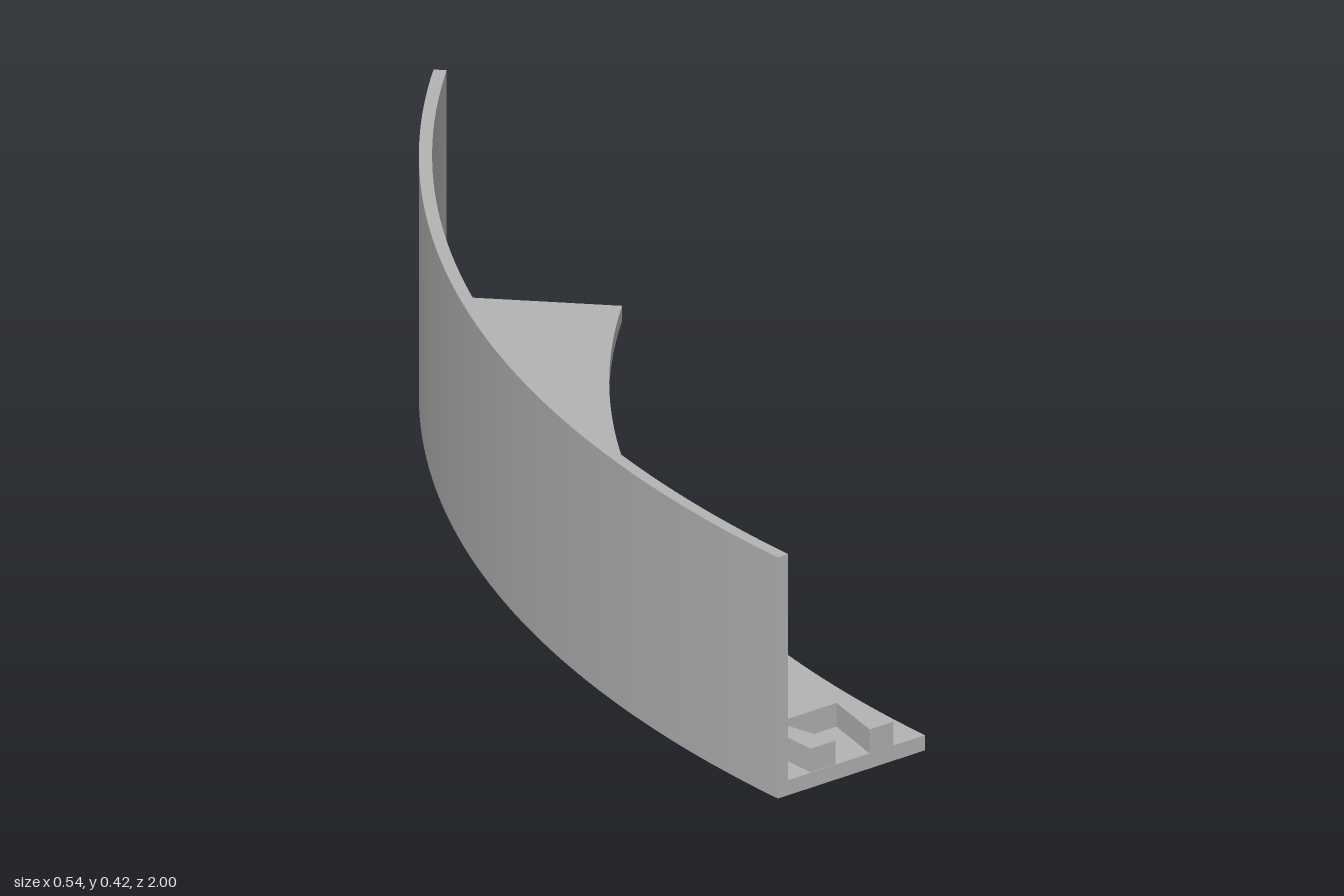
import * as THREE from 'three';

const CX = 2.233, CZ = -0.143;               // centre of the curve
const R_OUT = 2.505, R_WALL = 2.484, R_IN = 2.204;
const A0 = Math.PI - THREE.MathUtils.degToRad(20);
const A1 = Math.PI + THREE.MathUtils.degToRad(27.15);

// Extrudes a plan outline (drawn with shape y = -z) upwards from a base height
function slab(name, shape, base, height, material) {
  const geometry = new THREE.ExtrudeGeometry(shape, { depth: height, bevelEnabled: false, curveSegments: 56 });
  geometry.rotateX(-Math.PI / 2);
  geometry.translate(0, base, 0);
  const mesh = new THREE.Mesh(geometry, material);
  mesh.name = name;
  return mesh;
}

// Curved strip between two radii
function arcStrip(outer, inner) {
  const shape = new THREE.Shape();
  shape.absarc(CX, -CZ, outer, A0, A1, false);
  shape.absarc(CX, -CZ, inner, A1, A0, true);
  shape.closePath();
  return shape;
}

export function createModel() {
  const group = new THREE.Group();
  group.name = 'curvedAngleBracket';
  const grey = new THREE.MeshStandardMaterial({ color: 0xb3b3b3 });
  grey.name = 'light grey';

  // Upright wall and the flange at its foot
  group.add(slab('wall', arcStrip(R_OUT, R_WALL), 0, 0.416, grey));
  group.add(slab('flange', arcStrip(R_WALL, R_IN), 0, 0.026, grey));

  // Raised socket with a dovetail slot opening at the front end
  const outline = [
    [-0.003, 0.838], [0.064, 0.968], [0.109, 0.945], [0.034, 0.856],
    [0.142, 0.8], [0.171, 0.914], [0.214, 0.892], [0.148, 0.76],
  ].map(([x, z]) => new THREE.Vector2(x, -z));
  group.add(slab('dovetailSocket', new THREE.Shape(outline), 0.025, 0.042, grey));

  return group;
}
